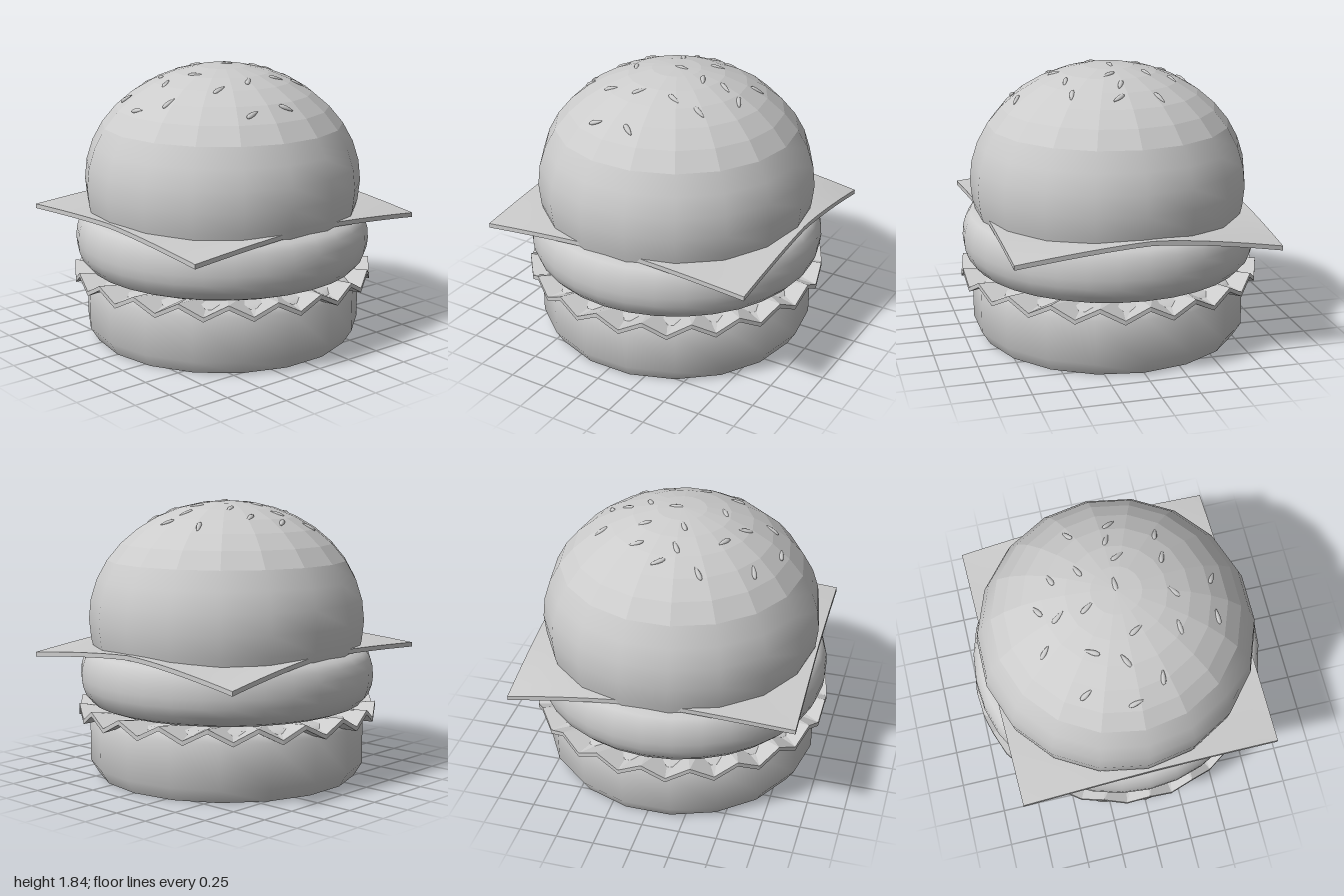
import * as THREE from 'three';
import { toCreasedNormals } from 'three/addons/utils/BufferGeometryUtils.js';

const smooth = new THREE.MeshStandardMaterial({ color: 0xcccccc });
const faceted = new THREE.MeshStandardMaterial({ color: 0xcccccc, flatShading: true });

const DOME = { r: 0.925, h: 0.78, y: 1.05 };
const deg = THREE.MathUtils.degToRad;

function addMesh(parent, name, geometry, material = smooth) {
  const mesh = new THREE.Mesh(geometry, material);
  mesh.name = name;
  parent.add(mesh);
  return mesh;
}

// Turned part with a corner on the x axis
function turned(profile, sides, crease = 0.65) {
  const points = profile.map(([r, y]) => new THREE.Vector2(r, y));
  return toCreasedNormals(new THREE.LatheGeometry(points, sides, Math.PI / 2), crease);
}

// Profile point of the upper bun at an elevation angle
function domePoint(elevation) {
  const e = deg(elevation);
  return [Math.max(0, DOME.r * Math.cos(e)), DOME.y + DOME.h * Math.sin(e)];
}

// Thin ring whose height zigzags, strongest at the rim
function lettuceGeometry() {
  const steps = 40, inner = 0.7, outer = 1, half = 0.015;
  const positions = [], index = [];
  for (let i = 0; i < steps; i++) {
    const a = (i / steps) * Math.PI * 2;
    const rim = 0.44 + (i % 2 ? -0.04 : 0.04);
    const section = [[inner, 0.44 + half], [outer, rim + half], [outer, rim - half], [inner, 0.44 - half]];
    for (const [r, y] of section) positions.push(r * Math.cos(a), y, r * Math.sin(a));
    const next = (i + 1) % steps;
    for (let k = 0; k < 4; k++) {
      const l = (k + 1) % 4;
      const p = i * 4 + k, q = i * 4 + l, s = next * 4 + l, t = next * 4 + k;
      index.push(p, s, q, p, t, s);
    }
  }
  const g = new THREE.BufferGeometry();
  g.setAttribute('position', new THREE.Float32BufferAttribute(positions, 3));
  g.setIndex(index);
  const flat = g.toNonIndexed();
  flat.computeVertexNormals();
  return flat;
}

// Square slice whose corners droop by different amounts
function cheeseGeometry() {
  const w = 1.87, d = 1.735;
  const g = new THREE.BoxGeometry(w, 0.03, d, 16, 1, 16);
  const p = g.attributes.position;
  for (let i = 0; i < p.count; i++) {
    const u = p.getX(i) / (w / 2), v = p.getZ(i) / (d / 2);
    const drop = v > 0 ? (u > 0 ? 0.07 : 0.06) : (u > 0 ? 0.115 : 0.045);
    p.setY(i, p.getY(i) - drop * Math.pow(Math.abs(u * v), 1.4));
  }
  return toCreasedNormals(g, 0.6);
}

// Teardrop seed lying along x
function seedGeometry() {
  const g = new THREE.SphereGeometry(1, 8, 6);
  g.rotateZ(Math.PI / 2);
  const p = g.attributes.position;
  for (let i = 0; i < p.count; i++) {
    const x = p.getX(i), taper = 0.8 - 0.3 * x;
    p.setXYZ(i, x * 0.05, p.getY(i) * 0.016 * taper, p.getZ(i) * 0.02 * taper);
  }
  g.computeVertexNormals();
  return g;
}

// Seed positions: x, z, heading in degrees
const SEEDS = [
  [-0.24, -0.51, 53], [0.02, -0.5, -37], [-0.55, -0.32, 55], [-0.065, -0.385, 60],
  [0.195, -0.38, -24], [-0.335, -0.23, -60], [-0.065, -0.2, 60], [0.195, -0.205, -24],
  [0.485, -0.205, -30], [-0.665, -0.03, 70], [-0.43, -0.04, -26], [-0.27, 0.06, 60],
  [0.04, 0, 0], [0.23, 0.06, 60], [0.37, 0.02, 24], [0.495, 0.065, 53],
  [-0.56, 0.165, 0], [-0.29, 0.335, -12], [-0.065, 0.35, -45], [0.18, 0.335, 24],
  [0.36, 0.335, 24], [-0.235, 0.6, -17], [0.02, 0.625, 45],
];

function placeSeed(seed, x, z, heading) {
  const sx = x / DOME.r, sz = z / DOME.r;
  const sy = Math.sqrt(1 - sx * sx - sz * sz);
  const normal = new THREE.Vector3(sx / DOME.r, sy / DOME.h, sz / DOME.r).normalize();
  const along = new THREE.Vector3(Math.cos(deg(heading)), 0, Math.sin(deg(heading)));
  along.addScaledVector(normal, -along.dot(normal)).normalize();
  const across = new THREE.Vector3().crossVectors(along, normal);
  seed.quaternion.setFromRotationMatrix(new THREE.Matrix4().makeBasis(along, normal, across));
  seed.position.set(x, DOME.y + DOME.h * sy, z).addScaledVector(normal, -0.005);
}

export function createModel() {
  const burger = new THREE.Group();
  burger.name = 'burger';

  // Lower bun with a bevelled foot
  addMesh(burger, 'bottomBun', turned(
    [[0, 0], [0.87, 0], [0.925, 0.09], [0.925, 0.38], [0.9, 0.43], [0.86, 0.45], [0, 0.455]], 18));

  addMesh(burger, 'lettuce', lettuceGeometry());

  // Patty with a rounded rim
  addMesh(burger, 'patty', turned(
    [[0, 0.475], [0.86, 0.48], [0.91, 0.5], [0.955, 0.55], [0.978, 0.61], [0.985, 0.67],
      [0.98, 0.74], [0.962, 0.8], [0.935, 0.84], [0.88, 0.862], [0, 0.865]], 32));

  const cheese = addMesh(burger, 'cheese', cheeseGeometry());
  cheese.position.set(0.007, 0.885, -0.003);
  cheese.rotation.y = 0.026;

  // Upper bun: smooth sides below a faceted crown
  const topBun = new THREE.Group();
  topBun.name = 'topBun';
  burger.add(topBun);
  const sides = [-16, -10, 0, 10, 20, 30].map(domePoint);
  addMesh(topBun, 'bunSides', turned([[0, sides[0][1]], ...sides], 18));
  addMesh(topBun, 'bunCrown', turned([30, 40, 50, 60, 70, 80, 90].map(domePoint), 18), faceted);

  const seeds = new THREE.Group();
  seeds.name = 'seeds';
  topBun.add(seeds);
  const seedShape = seedGeometry();
  for (const [x, z, heading] of SEEDS) placeSeed(addMesh(seeds, 'seed', seedShape), x, z, heading);

  return burger;
}
